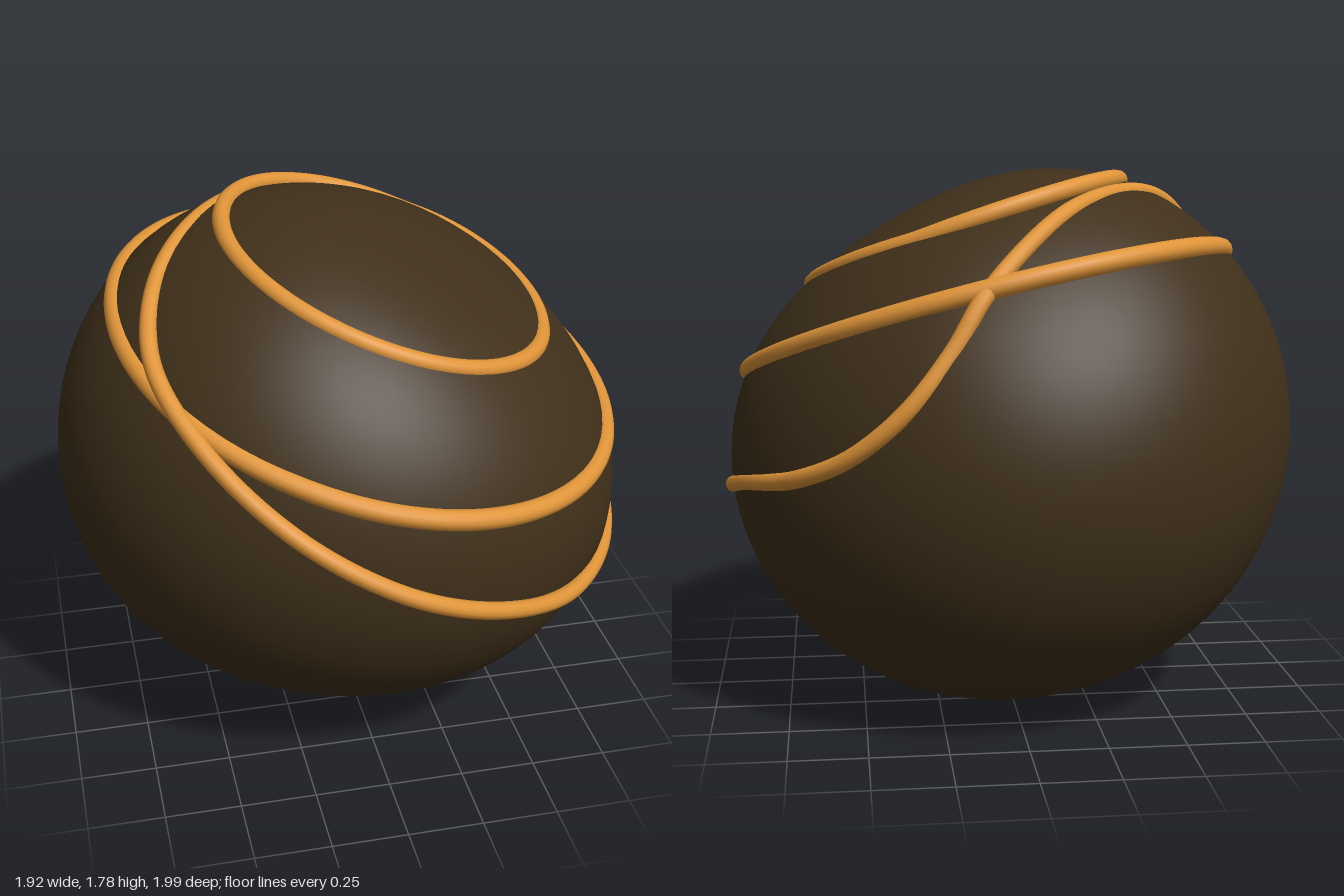
import * as THREE from 'three';
import { mergeVertices } from 'three/addons/utils/BufferGeometryUtils.js';

const V = (x, y, z) => new THREE.Vector3(x, y, z);
const CENTER = V(0.003, 0.887, -0.035);

// Flattened or swollen areas of the body: direction, depth, sharpness
const DENTS = [
  [V(0.52, 0.82, 0.22).normalize(), 0.182, 2.8], // tilted top
  [V(-0.2, -0.92, 0.33).normalize(), 0.105, 2.5], // underside
  [V(0, 0.7, -0.75).normalize(), 0.045, 6], // upper back
  [V(0.7, 0.12, -0.7).normalize(), 0.042, 6], // left back
  [V(0.65, -0.1, 0.65).normalize(), -0.033, 6], // fuller left front
];

// Distance from the centre to the body surface along a unit direction
function surfaceRadius(dir) {
  return DENTS.reduce((r, [d, depth, k]) => r - depth * Math.exp(k * (dir.dot(d) - 1)), 0.982);
}

// Closed cord through the points, half sunk into the body at most
function makeCord(name, points, radius, material) {
  const lifted = points.map((p) => {
    const dir = p.clone().sub(CENTER);
    const r = Math.max(dir.length(), surfaceRadius(dir.clone().normalize()) - 0.014);
    return dir.setLength(r).add(CENTER);
  });
  const path = new THREE.CatmullRomCurve3(lifted, true, 'centripetal');
  const mesh = new THREE.Mesh(new THREE.TubeGeometry(path, 200, radius, 12, true), material);
  mesh.name = name;
  return mesh;
}

// Points of an oval lying on a tilted plane
function tiltedOval(center, rx, rz, slopeX, slopeZ, n = 32) {
  return Array.from({ length: n }, (_, i) => {
    const a = (i / n) * Math.PI * 2;
    const dx = rx * Math.cos(a), dz = rz * Math.sin(a);
    return V(center.x + dx, center.y + slopeX * dx + slopeZ * dz, center.z + dz);
  });
}

export function createModel() {
  const model = new THREE.Group();
  model.name = 'cordedStone';
  const bodyMaterial = new THREE.MeshStandardMaterial({ color: 0x40301a });
  const cordMaterial = new THREE.MeshStandardMaterial({ color: 0xdf9438 });

  // Rounded body: a sphere reshaped at the flattened and swollen areas
  let geo = new THREE.SphereGeometry(1, 80, 56);
  geo.deleteAttribute('uv');
  geo.deleteAttribute('normal');
  geo = mergeVertices(geo);
  const pos = geo.attributes.position;
  const p = V(0, 0, 0);
  for (let i = 0; i < pos.count; i++) {
    p.fromBufferAttribute(pos, i).normalize();
    p.multiplyScalar(surfaceRadius(p)).add(CENTER);
    pos.setXYZ(i, p.x, p.y, p.z);
  }
  geo.computeVertexNormals();
  const body = new THREE.Mesh(geo, bodyMaterial);
  body.name = 'body';
  model.add(body);

  // Two flat oval cords around the tilted top
  const upper = tiltedOval(V(0.125, 1.54, 0.05), 0.515, 0.545, -0.335, -0.16);
  const middle = tiltedOval(V(0.062, 1.268, 0.065), 0.81, 0.82, -0.235, -0.215);
  model.add(makeCord('upperCord', upper, 0.03, cordMaterial));
  model.add(makeCord('middleCord', middle, 0.033, cordMaterial));

  // Loose lower cord that climbs over the back and meets the middle one
  const loose = [
    [0.13, 1.42, -0.76], [0.24, 1.25, -0.82], [0.38, 1.08, -0.85], [0.54, 0.94, -0.79],
    [0.7, 0.85, -0.65], [0.87, 0.77, -0.3], [0.93, 0.7, 0], [0.83, 0.64, 0.4],
    [0.61, 0.64, 0.7], [0.31, 0.74, 0.9], [0, 0.875, 0.965], [-0.3, 1.05, 0.89],
    [-0.54, 1.25, 0.69], [-0.67, 1.44, 0.4], [-0.62, 1.59, 0.12], [-0.44, 1.69, -0.16],
    [-0.15, 1.645, -0.49],
  ].map((q) => V(...q));
  model.add(makeCord('lowerCord', loose, 0.028, cordMaterial));

  return model;
}
